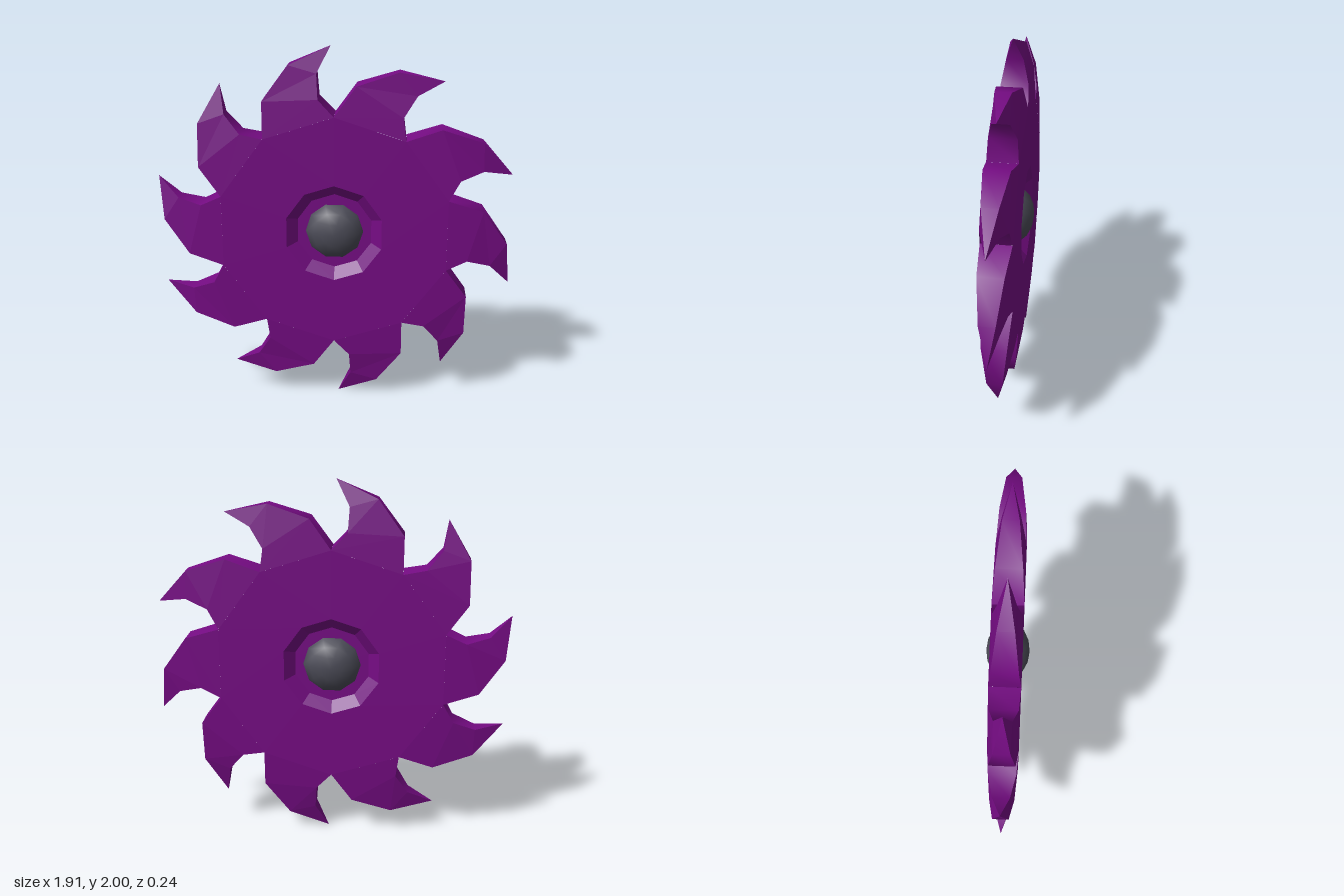
import * as THREE from 'three';
import { toCreasedNormals } from 'three/addons/utils/BufferGeometryUtils.js';

const TEETH = 10;
const STEP = (Math.PI * 2) / TEETH;

// One tooth outline, clockwise from notch to notch: x, y, half thickness
const root = [0, 0.64, 0.08];
const tooth = [
  root,
  [0.115, 0.80, 0.067],
  [0.335, 0.87, 0.042],
  [0.57, 0.82, 0],
  [0.43, 0.75, 0.045],
  [0.36, 0.64, 0.072],
  [0.376, 0.518, 0.08],
];

// Hub recess profile: radius, half thickness
const recess = [[0.64, 0.08], [0.27, 0.08], [0.21, 0.03]];

function turn([x, y, z], k) {
  const c = Math.cos(k * STEP), s = Math.sin(k * STEP);
  return [x * c + y * s, y * c - x * s, z];
}
const flip = ([x, y, z]) => [x, y, -z];

function addPolygon(list, points) {
  for (let i = 1; i < points.length - 1; i++) list.push(...points[0], ...points[i], ...points[i + 1]);
}

// Adds a front polygon and its mirrored twin on the back
function addBothSides(list, points) {
  addPolygon(list, points);
  addPolygon(list, points.map(flip).reverse());
}

function toGeometry(list) {
  const geometry = new THREE.BufferGeometry();
  geometry.setAttribute('position', new THREE.Float32BufferAttribute(list, 3));
  geometry.computeVertexNormals();
  return geometry;
}

export function createModel() {
  const purple = new THREE.MeshStandardMaterial({ name: 'purple blade', color: 0x760c84 });
  const grey = new THREE.MeshStandardMaterial({ name: 'dark grey hub', color: 0x4c4c58 });

  const disc = [], faces = [], walls = [];
  for (let k = 0; k < TEETH; k++) {
    // Disc, sloped recess and recess floor
    const ray = (j, p) => turn([0, p[0], p[1]], j);
    for (let i = 0; i < recess.length - 1; i++) {
      const a = recess[i], b = recess[i + 1];
      addBothSides(disc, [ray(k, a), ray(k, b), ray(k + 1, b), ray(k + 1, a)]);
    }
    const floor = recess[recess.length - 1];
    addBothSides(disc, [ray(k, floor), [0, 0, floor[1]], ray(k + 1, floor)]);

    // Tapering tooth faces
    const [a, p1, p2, tip, q2, q1, b] = tooth.map((p) => turn(p, k));
    addBothSides(faces, [a, b, q1, p1]);
    addBothSides(faces, [p1, q1, q2, p2]);
    addBothSides(faces, [p2, q2, tip]);

    // Edge walls around the tooth, narrowing to the tip
    const edge = [a, p1, p2, tip, q2, q1, b];
    for (let i = 0; i < edge.length - 1; i++) {
      const s = edge[i], e = edge[i + 1];
      if (e === tip) addPolygon(walls, [s, e, flip(s)]);
      else if (s === tip) addPolygon(walls, [s, e, flip(e)]);
      else addPolygon(walls, [s, e, flip(e), flip(s)]);
    }
  }

  const group = new THREE.Group();
  group.name = 'sawBlade';
  const add = (name, geometry, material) => {
    const mesh = new THREE.Mesh(geometry, material);
    mesh.name = name;
    mesh.position.y = 1;
    group.add(mesh);
  };
  add('disc', toGeometry(disc), purple);
  add('toothFaces', toGeometry(faces), purple);
  add('toothEdges', toCreasedNormals(toGeometry(walls), 0.8), purple);

  // Flattened ball poking out of both recesses
  const ball = new THREE.SphereGeometry(0.165, 10, 8);
  ball.rotateX(Math.PI / 2);
  ball.scale(1, 1, 0.72);
  add('hubBall', ball, grey);

  return group;
}
